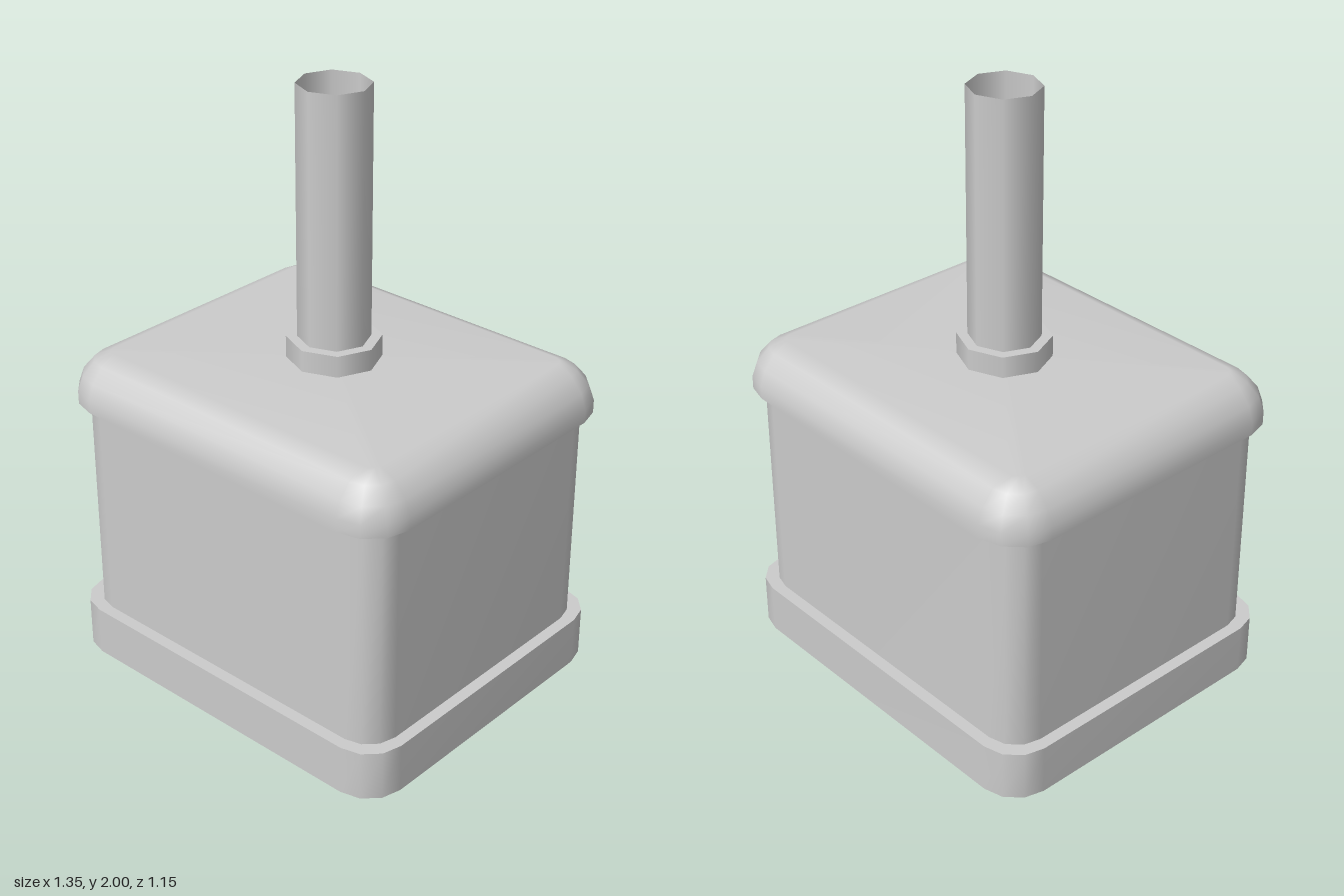
import * as THREE from 'three';

const CORNER_STEPS = 3;

// Rounded rectangle ring at height y: half width w, half depth d, corner radius r
function ring(w, d, r, y) {
  const points = [];
  const centres = [[1, 1], [-1, 1], [-1, -1], [1, -1]];
  centres.forEach(([sx, sz], quarter) => {
    for (let i = 0; i <= CORNER_STEPS; i++) {
      const a = (quarter + i / CORNER_STEPS) * Math.PI / 2;
      points.push([sx * (w - r) + r * Math.cos(a), y, sz * (d - r) + r * Math.sin(a)]);
    }
  });
  return points;
}

// Skin through rings listed bottom to top, with an optional cap on the last ring
function loft(rings, cap = false) {
  const n = rings[0].length;
  const positions = rings.flat(2);
  const index = [];
  for (let k = 0; k < rings.length - 1; k++) {
    for (let i = 0; i < n; i++) {
      const a = k * n + i, b = k * n + (i + 1) % n;
      index.push(a, a + n, b, b, a + n, b + n);
    }
  }
  if (cap) {
    const start = (rings.length - 1) * n;
    positions.push(0, rings[rings.length - 1][0][1], 0);
    for (let i = 0; i < n; i++) index.push(start + i, rings.length * n, start + (i + 1) % n);
  }
  const geometry = new THREE.BufferGeometry();
  geometry.setAttribute('position', new THREE.Float32BufferAttribute(positions, 3));
  geometry.setIndex(index);
  geometry.computeVertexNormals();
  return geometry;
}

export function createModel() {
  const model = new THREE.Group();
  const material = new THREE.MeshStandardMaterial({ color: 0xcccccc, side: THREE.DoubleSide });
  const add = (name, geometry, y = 0) => {
    const mesh = new THREE.Mesh(geometry, material);
    mesh.name = name;
    mesh.position.y = y;
    model.add(mesh);
    return mesh;
  };

  // Hollow plinth, open underneath, closed by a flat plate at its top
  const plinthTop = ring(0.675, 0.575, 0.13, 0.17);
  add('plinthWall', loft([ring(0.675, 0.575, 0.13, 0), plinthTop]));
  add('plinthTop', loft([plinthTop], true));

  // Main box
  add('body', loft([ring(0.635, 0.535, 0.11, 0.17), ring(0.635, 0.535, 0.11, 0.93)]));

  // Lid with a rounded shoulder, and its overhanging underside
  const profile = [[0, 0.93], [0, 0.975], [0.018, 1.025], [0.058, 1.072], [0.115, 1.098]];
  const lidRings = profile.map(([inset, y]) => ring(0.675 - inset, 0.575 - inset, 0.15 - inset, y));
  add('lid', loft(lidRings, true));
  add('lidUnderside', loft([ring(0.635, 0.535, 0.11, 0.93), ring(0.675, 0.575, 0.15, 0.93)]));

  // Octagonal collar and open pipe
  const collar = add('collar', new THREE.CylinderGeometry(0.155, 0.155, 0.08, 8, 1, true), 1.13);
  const collarTop = add('collarTop', new THREE.RingGeometry(0.119, 0.155, 8).rotateX(-Math.PI / 2), 1.17);
  const pipe = add('pipe', new THREE.CylinderGeometry(0.119, 0.119, 0.91, 8, 1, true), 1.545);
  for (const part of [collar, collarTop, pipe]) part.scale.z = 0.97;

  return model;
}
